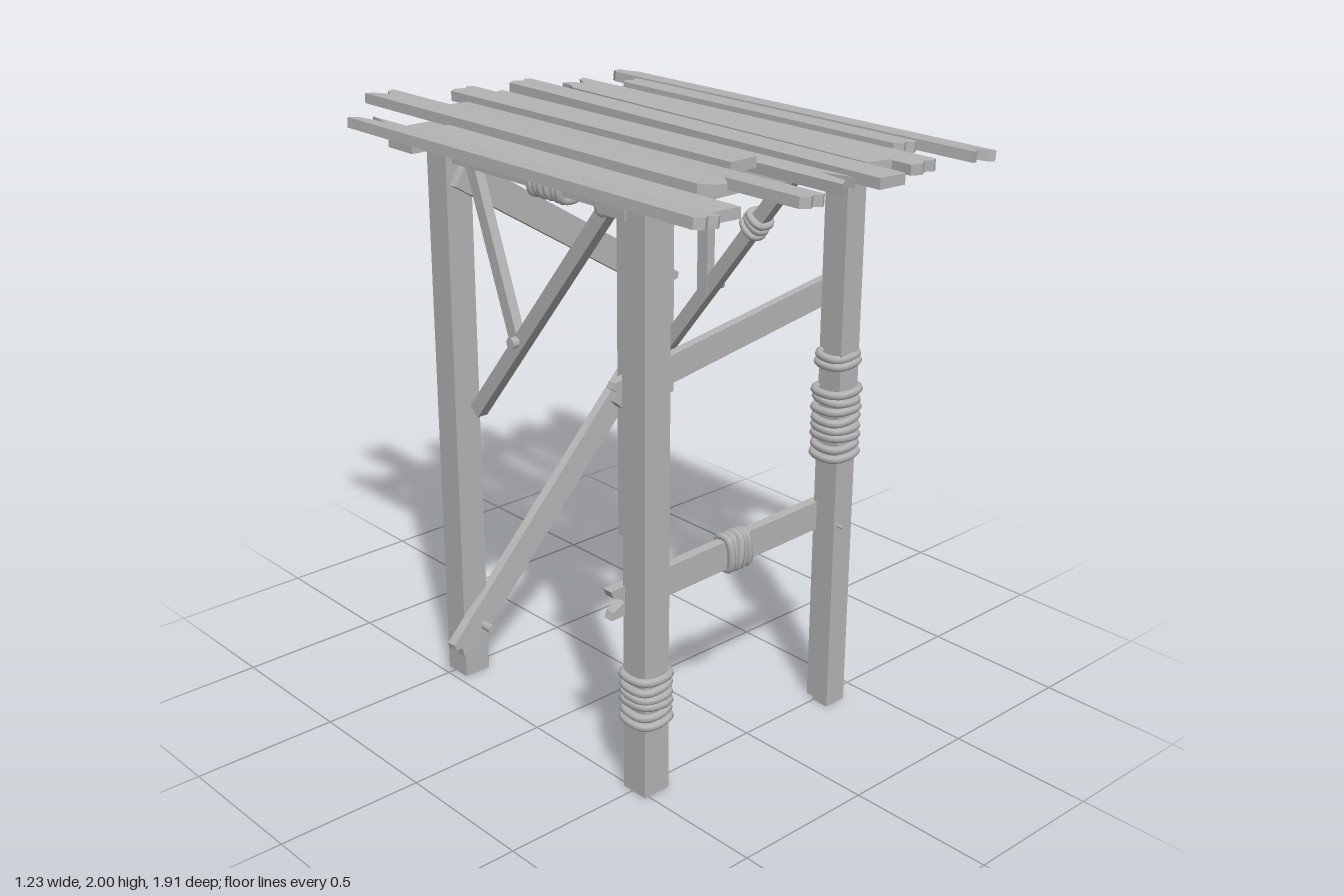
import * as THREE from 'three';

const wood = new THREE.MeshStandardMaterial({ color: 0xb4b4b4 });
wood.name = 'greyWood';
const V = (p) => new THREE.Vector3(...p);
const FRONT = [0, 0, 1], SIDE = [1, 0, 0];

// End outlines: [position across the width -1..1, offset along the length]
const FLAT = [[-1, 0], [1, 0]];
const SLANT = [[-1, 0], [0.2, -0.015], [1, -0.03]];
const NOTCH = [[-1, 0], [-0.5, -0.01], [0, -0.06], [0.5, -0.01], [1, 0]];
const SPLIT = [[-1, -0.02], [-0.4, -0.13], [0.1, -0.02], [1, 0]];
const CHIP = [[-1, -0.01], [-0.6, 0], [-0.2, -0.02], [0.4, -0.005], [1, -0.025]];
const TIP = [[-1, -0.06], [-0.2, 0], [0.5, -0.01], [1, -0.05]];

// Local y runs along dir, local z faces the hint
function basis(dir, hint) {
  const y = dir.clone().normalize();
  const z = V(hint).addScaledVector(y, -V(hint).dot(y)).normalize();
  return new THREE.Matrix4().makeBasis(y.clone().cross(z), y, z);
}

export function createModel() {
  const root = new THREE.Group();
  root.name = 'plankRoofedStand';

  // Straight board between two points, with shaped ends
  function board(name, a, b, width, thick, hint = FRONT, endA = FLAT, endB = FLAT) {
    const A = V(a), B = V(b), half = A.distanceTo(B) / 2, w = width / 2;
    const pts = [
      ...endA.map(([u, d]) => new THREE.Vector2(u * w, -half - d)),
      ...[...endB].reverse().map(([u, d]) => new THREE.Vector2(u * w, half + d)),
    ];
    const geo = new THREE.ExtrudeGeometry(new THREE.Shape(pts), { depth: thick, bevelEnabled: false });
    geo.translate(0, 0, -thick / 2);
    const mesh = new THREE.Mesh(geo, wood);
    mesh.name = name;
    mesh.quaternion.setFromRotationMatrix(basis(B.clone().sub(A), hint));
    mesh.position.copy(A.add(B).multiplyScalar(0.5));
    root.add(mesh);
  }

  // Stack of rope loops wrapped round a rectangular section
  function coil(name, centre, axis, hx, hz, count, span, hint = FRONT) {
    const g = new THREE.Group();
    g.name = name;
    const c = 0.6;
    const loop = [[1, c], [c, 1], [-c, 1], [-1, c], [-1, -c], [-c, -1], [c, -1], [1, -c]]
      .map(([x, z]) => new THREE.Vector3(x * hx, 0, z * hz));
    const geo = new THREE.TubeGeometry(new THREE.CatmullRomCurve3(loop, true), 24, 0.014, 7, true);
    for (let i = 0; i < count; i++) {
      const m = new THREE.Mesh(geo, wood);
      m.name = 'ropeLoop';
      m.position.y = count > 1 ? span * (i / (count - 1) - 0.5) : 0;
      m.rotation.set(0.06 * Math.sin(i * 2.3), 0, 0.09 * Math.sin(i * 1.7 + 1));
      m.scale.set(1 + 0.05 * Math.sin(i * 3.1), 1, 1 + 0.05 * Math.cos(i * 2.7));
      g.add(m);
    }
    g.quaternion.setFromRotationMatrix(basis(V(axis), hint));
    g.position.set(...centre);
    root.add(g);
  }

  // Small wooden peg
  function peg(centre, axis, r = 0.015, len = 0.05) {
    const m = new THREE.Mesh(new THREE.CylinderGeometry(r, r, len, 8), wood);
    m.name = 'peg';
    m.quaternion.setFromUnitVectors(new THREE.Vector3(0, 1, 0), V(axis));
    m.position.set(...centre);
    root.add(m);
  }

  // Posts; the front +x one is doubled
  const post = (name, x, z, w, d, y0 = 0, y1 = 1.93) => board(name, [x, y0, z], [x, y1, z], w, d);
  post('frontRightSidePost', -0.465, 0.51, 0.1, 0.1);
  post('frontLeftSidePost', 0.368, 0.53, 0.085, 0.065);
  post('frontLeftSidePostBacking', 0.385, 0.477, 0.085, 0.045);
  post('backLeftSidePost', 0.42, -0.485, 0.1, 0.1);
  post('backRightSidePost', -0.42, -0.485, 0.1, 0.1);
  post('frontInnerPost', -0.435, 0.435, 0.1, 0.06, 0.86, 1.87);
  post('backInnerPost', 0.42, -0.405, 0.1, 0.06, 0.86, 1.87);

  // Beams under the roof
  board('frontBeam', [-0.52, 1.905, 0.42], [0.53, 1.905, 0.42], 0.065, 0.12);
  board('backBeam', [-0.51, 1.905, -0.625], [0.51, 1.905, -0.625], 0.06, 0.13);
  for (const x of [-0.41, 0.4]) board('sideBeam', [x, 1.89, -0.5], [x, 1.89, 0.48], 0.065, 0.07, SIDE);

  // Front and back cross boards
  board('upperFrontRail', [-0.54, 1.335, 0.44], [0.41, 1.475, 0.44], 0.09, 0.03, FRONT, CHIP, FLAT);
  board('lowerFrontRail', [-0.57, 0.665, 0.45], [0.52, 0.692, 0.45], 0.1, 0.035, FRONT, NOTCH, TIP);
  board('upperBackBrace', [-0.43, 1.83, -0.42], [0.5, 1.255, -0.42], 0.1, 0.035, FRONT, FLAT, CHIP);
  board('lowerBackBrace', [-0.53, 0.13, -0.4], [0.57, 1.03, -0.575], 0.1, 0.035, FRONT, CHIP, TIP);

  // Side braces
  for (const x of [-0.4, 0.43]) board('sideBrace', [x, 1.88, 0.3], [x, 1.01, -0.4], 0.05, 0.04, SIDE);
  board('sideStrut', [0.425, 1.3, -0.165], [0.425, 1.87, -0.165], 0.05, 0.035, SIDE);
  board('sideStrut', [-0.4, 1.3, -0.17], [-0.4, 1.87, -0.385], 0.045, 0.035, SIDE);

  // Roof planks: x at back, x at front, back z, front z, width, y, roll, back end, front end
  const planks = [
    [-0.575, -0.57, -0.76, 0.88, 0.085, 1.958, 0.08, SPLIT, CHIP],
    [-0.465, -0.47, -0.49, 0.84, 0.1, 1.95, -0.05, CHIP, SLANT],
    [-0.355, -0.355, -0.96, 0.71, 0.115, 1.978, 0.03, NOTCH, TIP],
    [-0.25, -0.24, -0.66, 0.95, 0.085, 1.97, 0.04, FLAT, CHIP],
    [-0.13, -0.125, -0.81, 0.555, 0.105, 1.982, 0, CHIP, FLAT],
    [-0.015, -0.015, -0.77, 0.875, 0.075, 1.958, -0.04, SLANT, SPLIT],
    [0.13, 0.08, -0.82, 0.945, 0.105, 1.972, 0.02, CHIP, FLAT],
    [0.255, 0.205, -0.67, 0.8, 0.075, 1.965, -0.03, TIP, SLANT],
    [0.325, 0.325, -0.75, 0.87, 0.095, 1.955, -0.06, NOTCH, CHIP],
    [0.445, 0.44, -0.59, 0.7, 0.09, 1.965, 0.05, CHIP, CHIP],
    [0.56, 0.555, -0.78, 0.9, 0.105, 1.957, 0.12, TIP, NOTCH],
  ];
  for (const [xb, xf, zb, zf, w, y, roll, eb, ef] of planks) {
    board('roofPlank', [xb, y, zb], [xf, y, zf], w, 0.034, [Math.sin(roll), Math.cos(roll), 0], eb, ef);
  }

  // Rope bindings
  const UP = [0, 1, 0];
  coil('frontPostRope', [0.37, 1.04, 0.51], UP, 0.06, 0.056, 8, 0.22);
  coil('frontPostRope', [0.37, 1.26, 0.51], UP, 0.055, 0.05, 2, 0.025);
  coil('lowerPostRope', [-0.465, 0.34, 0.51], UP, 0.06, 0.06, 6, 0.15);
  coil('backPostRope', [0.425, 1.08, -0.49], UP, 0.063, 0.062, 6, 0.15);
  coil('backPostRope', [0.425, 0.815, -0.49], UP, 0.063, 0.062, 4, 0.075);
  coil('railRope', [-0.03, 0.678, 0.45], SIDE, 0.055, 0.028, 5, 0.08);
  coil('sideBeamRope', [-0.41, 1.885, 0.04], FRONT, 0.042, 0.042, 6, 0.14, UP);
  coil('sideBeamRope', [-0.41, 1.885, 0.3], FRONT, 0.042, 0.042, 2, 0.03, UP);
  coil('braceRope', [0.43, 1.6, 0.07], [0, 0.78, 0.63], 0.034, 0.03, 3, 0.05, SIDE);

  // Pegs
  peg([0.46, 1.33, -0.15], SIDE, 0.022);
  peg([-0.42, 1.32, -0.16], SIDE, 0.02);
  peg([0.445, 1.72, -0.135], SIDE, 0.018);
  peg([-0.44, 1.02, 0.4], FRONT, 0.016);
  peg([0.34, 0.69, 0.43], FRONT, 0.018, 0.06);
  peg([0.34, 0.685, 0.55], FRONT, 0.006, 0.08);
  peg([-0.41, 0.2, -0.38], FRONT, 0.016);
  peg([0.46, 0.94, -0.57], FRONT, 0.016);
  return root;
}
